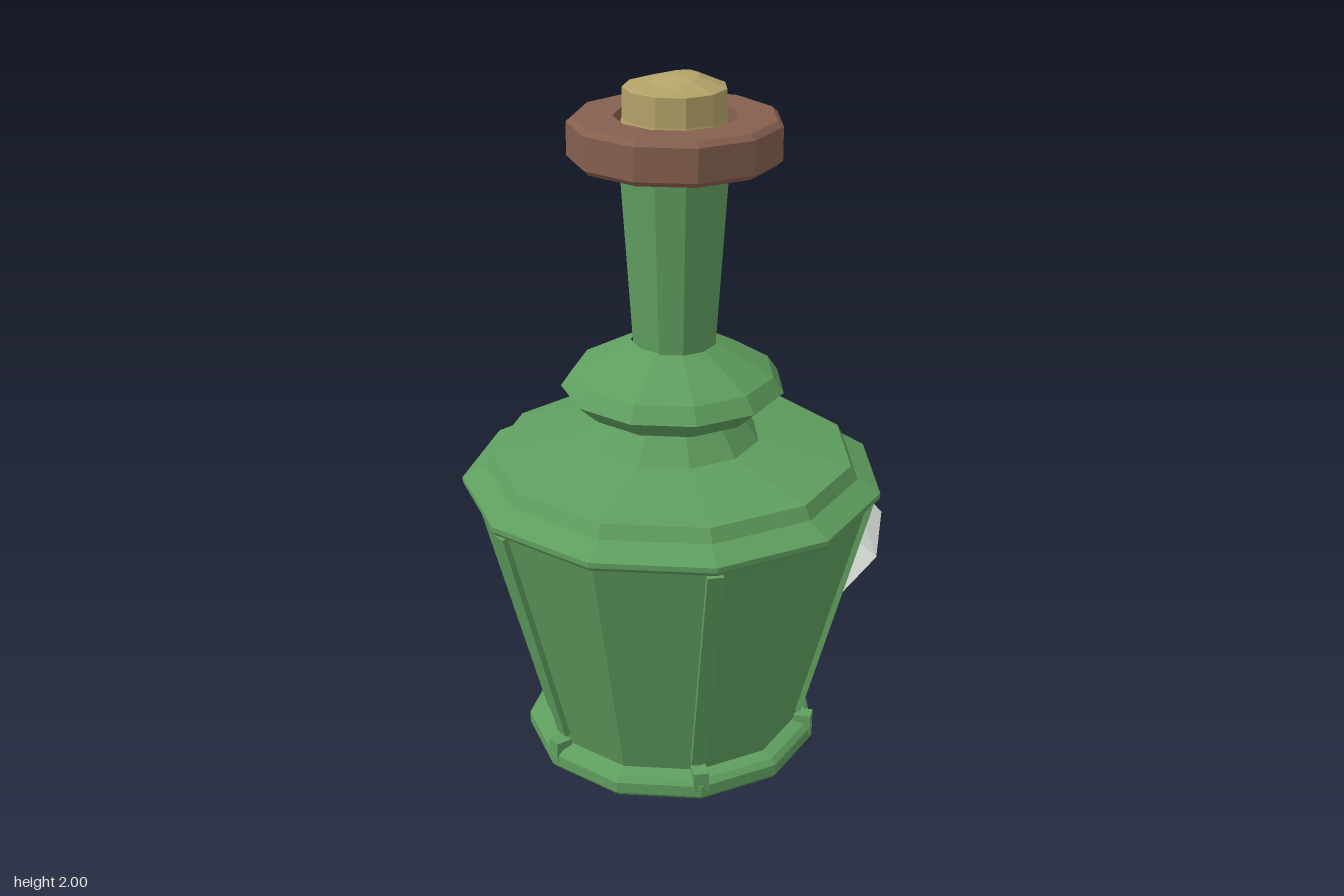
import * as THREE from 'three';

const SIDES = 11;

function material(name, color) {
  const m = new THREE.MeshStandardMaterial({ color });
  m.name = name;
  return m;
}

// Faceted normals: every face keeps its own corners
function faceted(geometry) {
  const g = geometry.index ? geometry.toNonIndexed() : geometry;
  g.computeVertexNormals();
  return g;
}

function addMesh(parent, name, geometry, mat) {
  const mesh = new THREE.Mesh(geometry, mat);
  mesh.name = name;
  parent.add(mesh);
  return mesh;
}

// Eleven-sided turned form with one corner facing the back
function turned(profile) {
  const points = profile.map(([r, y]) => new THREE.Vector2(r, y));
  return new THREE.LatheGeometry(points, SIDES, Math.PI, Math.PI * 2);
}

export function createModel() {
  const model = new THREE.Group();
  model.name = 'bottle';
  const glass = material('green glass', 0x5f9e5f);
  const leather = material('brown collar', 0x855f4e);
  const corkTan = material('tan cork', 0xb2a268);
  const paper = material('grey paper', 0xc6cac4);
  paper.side = THREE.DoubleSide;

  // Base rim and tapered body, up to the widest edge
  const body = addMesh(model, 'body', faceted(turned([
    [0, 0], [0.42, 0], [0.43, 0.012], [0.43, 0.045], [0.415, 0.06],
    [0.378, 0.07], [0.575, 0.805], [0.592, 0.808], [0.601, 0.82], [0.601, 0.835],
    [0.535, 0.872], [0.515, 0.91], [0.25, 0.96], [0.18, 1.058],
  ])), glass);
  body.position.z = 0.012;

  // Bulge between shoulder and neck
  const bulge = addMesh(model, 'bulge', faceted(turned([
    [0.17, 1.055], [0.25, 1.057], [0.265, 1.068], [0.316, 1.115],
    [0.285, 1.16], [0.118, 1.25],
  ])), glass);
  bulge.position.z = 0.018;

  const neck = addMesh(model, 'neck', faceted(turned([
    [0.116, 1.24], [0.153, 1.80],
  ])), glass);
  neck.position.z = 0.027;

  // Ribs on every second corner, with a small foot on the base rim
  const lean = Math.atan2(0.197, 0.735);
  for (let k = 0; k < SIDES; k += 2) {
    const rib = new THREE.Group();
    rib.name = 'rib' + (k / 2 + 1);
    rib.position.z = 0.012;
    rib.rotation.y = Math.PI - (k * Math.PI * 2) / SIDES;
    const strip = addMesh(rib, 'ribStrip', faceted(new THREE.BoxGeometry(0.044, 0.72, 0.03)), glass);
    strip.position.set(0, 0.453, 0.476);
    strip.rotation.x = lean;
    const foot = addMesh(rib, 'ribFoot', faceted(new THREE.BoxGeometry(0.044, 0.06, 0.05)), glass);
    foot.position.set(0, 0.057, 0.402);
    model.add(rib);
  }

  // Collar ring around the mouth
  const collar = addMesh(model, 'collar', faceted(turned([
    [0.145, 1.768], [0.278, 1.768], [0.292, 1.782], [0.292, 1.874],
    [0.276, 1.888], [0.168, 1.888], [0.158, 1.795],
  ])), leather);
  collar.position.z = 0.03;

  // Cork with a lopsided domed top
  const corkGeometry = turned([
    [0.162, 1.795], [0.142, 1.885], [0.141, 1.965], [0.132, 1.968], [0.065, 1.986], [0, 2.0],
  ]);
  const p = corkGeometry.attributes.position;
  for (let i = 0; i < p.count; i++) {
    if (p.getY(i) > 1.98 && p.getY(i) < 1.99) p.setY(i, p.getY(i) + p.getX(i) * 0.18);
  }
  const cork = addMesh(model, 'cork', faceted(corkGeometry), corkTan);
  cork.position.z = 0.027;

  // Curled paper label: rows from top to bottom, [x, z] across each row
  const rows = [
    [0.725, [[0.52, 0.32], [0.557, 0.1], [0.57, -0.02], [0.568, -0.145]]],
    [0.58, [[0.51, 0.32], [0.522, 0.1], [0.535, -0.02], [0.59, -0.15]]],
    [0.43, [[0.415, 0.255], [0.476, 0.1], [0.482, -0.02], [0.5, -0.155]]],
    [0.285, [[0.365, 0.245], [0.434, 0.09], [0.432, -0.02], [0.42, -0.12]]],
  ];
  const position = [];
  const index = [];
  rows.forEach(([y, row], r) => row.forEach(([x, z], c) => {
    position.push(x, y, z);
    if (r < 3 && c < 3) {
      const a = r * 4 + c;
      index.push(a, a + 4, a + 1, a + 1, a + 4, a + 5);
    }
  }));
  const sheet = new THREE.BufferGeometry();
  sheet.setAttribute('position', new THREE.Float32BufferAttribute(position, 3));
  sheet.setIndex(index);
  addMesh(model, 'paperLabel', faceted(sheet), paper);

  return model;
}
